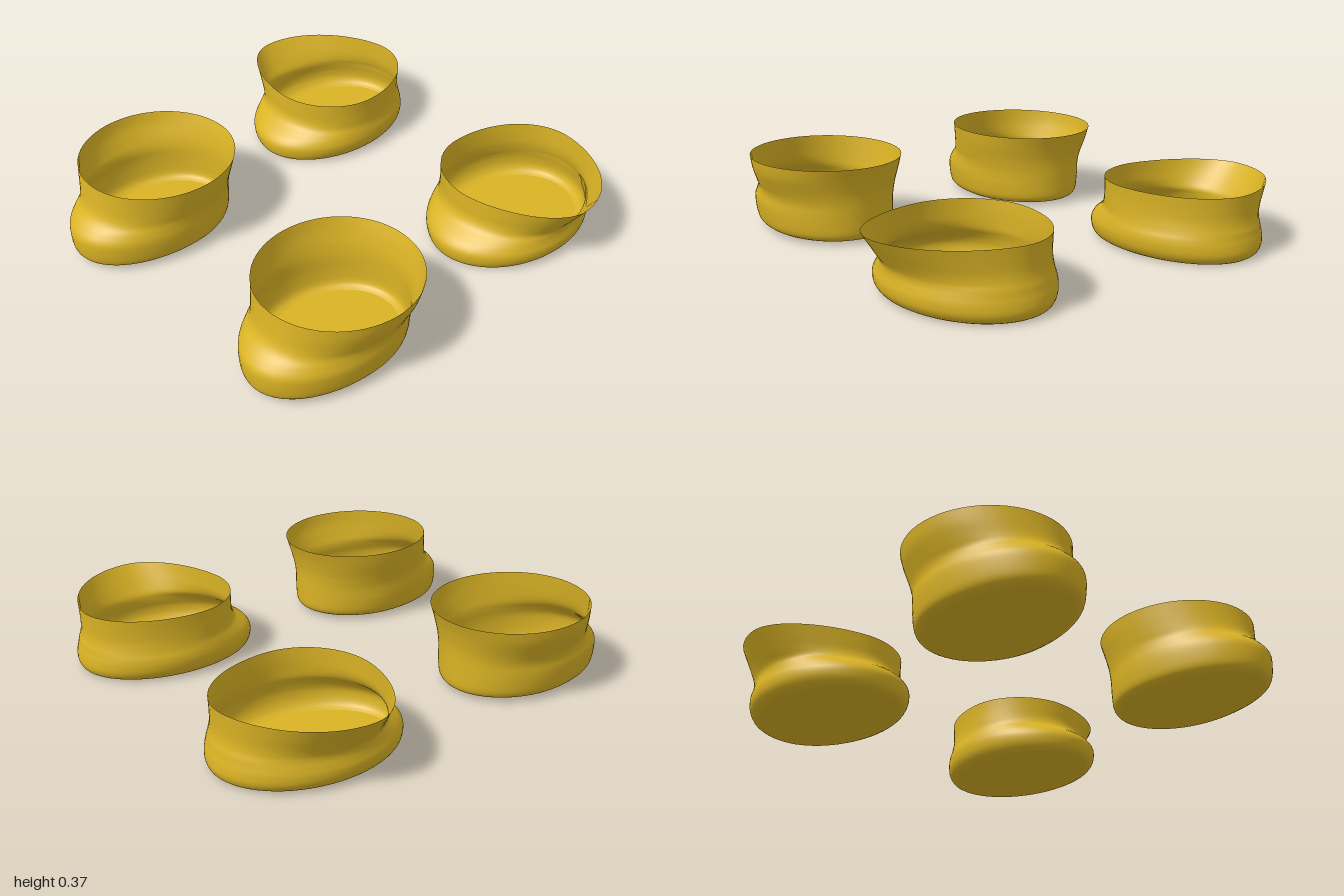
import * as THREE from 'three';

const SEGMENTS = 64, RINGS = 40;

// Cross-sections from sole to rim:
// [height, inner x, outer x, heel z, toe z, z of widest point, outer sharpness]
const FRONT = {
  cx: 0.56, tilt: 0.02,
  rows: [
    [0.022, 0.31, 0.80, 0.235, 0.955, 0.55, 1],
    [0.035, 0.288, 0.822, 0.215, 0.975, 0.55, 1],
    [0.06, 0.275, 0.836, 0.206, 0.986, 0.55, 1],
    [0.11, 0.267, 0.845, 0.205, 0.99, 0.55, 1],
    [0.15, 0.265, 0.848, 0.205, 0.984, 0.55, 1],
    [0.185, 0.265, 0.846, 0.205, 0.955, 0.54, 1],
    [0.215, 0.262, 0.851, 0.204, 0.92, 0.53, 1],
    [0.25, 0.254, 0.867, 0.2, 0.9, 0.53, 1],
    [0.31, 0.24, 0.893, 0.187, 0.888, 0.52, 1],
    [0.367, 0.23, 0.905, 0.168, 0.88, 0.52, 1],
  ],
};
const REAR = {
  cx: 0.57, tilt: 0.012,
  rows: [
    [0.008, 0.30, 0.86, -0.965, -0.185, -0.58, 1],
    [0.022, 0.275, 0.885, -0.985, -0.166, -0.58, 1],
    [0.05, 0.257, 0.905, -0.995, -0.157, -0.58, 1],
    [0.085, 0.25, 0.91, -0.992, -0.158, -0.58, 1],
    [0.115, 0.252, 0.905, -0.985, -0.18, -0.58, 1],
    [0.14, 0.258, 0.902, -0.98, -0.215, -0.57, 1],
    [0.165, 0.263, 0.907, -0.973, -0.248, -0.57, 1.05],
    [0.2, 0.265, 0.93, -0.968, -0.265, -0.56, 1.1],
    [0.25, 0.265, 0.965, -0.968, -0.268, -0.56, 1.15],
    [0.3, 0.262, 1.0, -0.97, -0.27, -0.56, 1.2],
  ],
};

// Points of one egg-shaped ring at height fraction t
function ring({ cx, tilt, rows }, splines, t, side) {
  const [y, inner, outer, heel, toe, cz, sharp] = splines.map(s => s.getPoint(t).y);
  const points = [];
  for (let i = 0; i < SEGMENTS; i++) {
    const a = (i / SEGMENTS) * Math.PI * 2, c = Math.cos(a), s = Math.sin(a);
    const x = c > 0 ? cx + (outer - cx) * Math.pow(c, sharp) : cx + (cx - inner) * c;
    const z = s > 0 ? cz + (toe - cz) * s : cz + (cz - heel) * s;
    points.push([side * x, y + tilt * t * (z - cz), z]);
  }
  return points;
}

function toGeometry(points, faces, side) {
  const geometry = new THREE.BufferGeometry();
  geometry.setAttribute('position', new THREE.Float32BufferAttribute(points.flat(), 3));
  geometry.setIndex(faces.flatMap(([a, b, c]) => (side > 0 ? [a, b, c] : [a, c, b])));
  geometry.computeVertexNormals();
  return geometry;
}

function makeShoe(spec, side, name, material) {
  const splines = spec.rows[0].map((_, k) =>
    new THREE.SplineCurve(spec.rows.map((row, i) => new THREE.Vector2(i, row[k]))));
  const shoe = new THREE.Group();
  shoe.name = name;

  // Open wall lofted through the rings
  const wall = [], wallFaces = [];
  for (let j = 0; j <= RINGS; j++) {
    wall.push(...ring(spec, splines, j / RINGS, side));
    if (j === RINGS) break;
    for (let i = 0; i < SEGMENTS; i++) {
      const a = j * SEGMENTS + i, b = j * SEGMENTS + (i + 1) % SEGMENTS;
      wallFaces.push([a, a + SEGMENTS, b], [b, a + SEGMENTS, b + SEGMENTS]);
    }
  }
  const upper = new THREE.Mesh(toGeometry(wall, wallFaces, side), material);
  upper.name = 'upper';

  // Flat sole closing the bottom ring
  const first = spec.rows[0];
  const base = [...ring(spec, splines, 0, side), [side * spec.cx, first[0], first[5]]];
  const soleFaces = [];
  for (let i = 0; i < SEGMENTS; i++) soleFaces.push([SEGMENTS, i, (i + 1) % SEGMENTS]);
  const sole = new THREE.Mesh(toGeometry(base, soleFaces, side), material);
  sole.name = 'sole';

  shoe.add(upper, sole);
  return shoe;
}

export function createModel() {
  const gold = new THREE.MeshStandardMaterial({ color: 0xdab325, side: THREE.DoubleSide });
  gold.name = 'gold';
  const model = new THREE.Group();
  model.name = 'fourShoes';
  for (const [side, label] of [[1, 'Left'], [-1, 'Right']]) {
    model.add(makeShoe(FRONT, side, `front${label}Shoe`, gold));
    model.add(makeShoe(REAR, side, `rear${label}Shoe`, gold));
  }
  return model;
}
